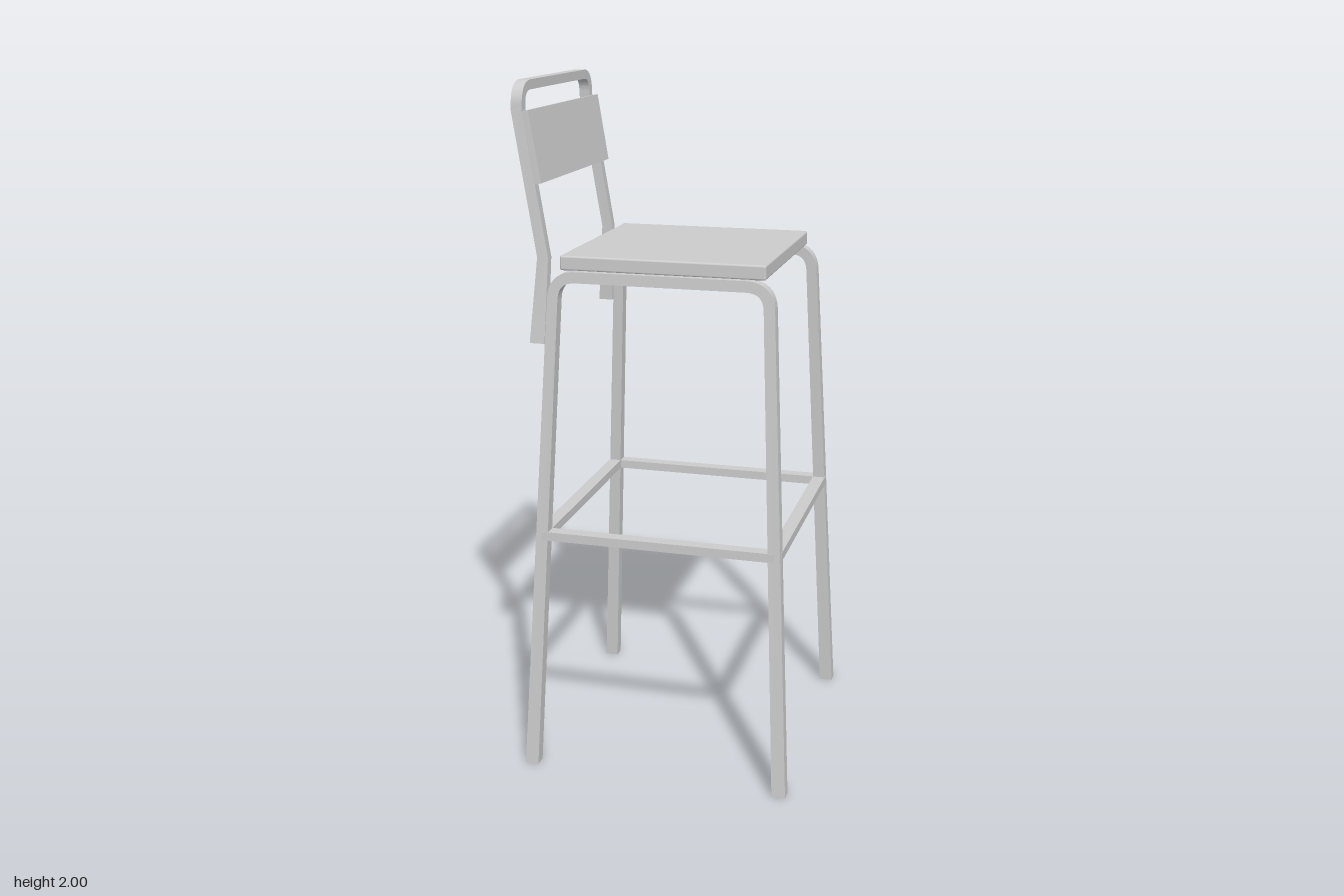
import * as THREE from 'three';
import { toCreasedNormals } from 'three/addons/utils/BufferGeometryUtils.js';
import { RoundedBoxGeometry } from 'three/addons/geometries/RoundedBoxGeometry.js';

const LEG_TOP = 1.472;
const legZ = (y) => 0.392 - 0.0605 * y; // legs splay sideways towards the floor

// piecewise-linear lookup in [key, value] stops
function ramp(stops, k) {
  let i = 1;
  while (i < stops.length - 1 && k > stops[i][0]) i++;
  const [a, b] = [stops[i - 1], stops[i]];
  return a[1] + (b[1] - a[1]) * THREE.MathUtils.clamp((k - a[0]) / (b[0] - a[0]), 0, 1);
}

// points of a rounded corner at c, between the directions of a and b
function corner(a, c, b, r, steps = 14) {
  const from = c.clone().add(a.clone().sub(c).setLength(r));
  const to = c.clone().add(b.clone().sub(c).setLength(r));
  return new THREE.QuadraticBezierCurve(from, c, to).getPoints(steps);
}

// rectangular bar along an upside-down U path, ends cut level;
// map(u, v, s) places a corner in space, s = +1 / -1 being its side
function sweepBar(path, halfWidth, map) {
  const pos = [], index = [], last = path.length - 1;
  path.forEach((p, i) => {
    const n = new THREE.Vector2();
    if (i === 0) n.set(-1, 0);
    else if (i === last) n.set(1, 0);
    else {
      const t1 = p.clone().sub(path[i - 1]).normalize();
      const t2 = path[i + 1].clone().sub(p).normalize();
      const t = t1.clone().add(t2).normalize();
      n.set(-t.y, t.x).divideScalar(t.dot(t1)); // mitre
    }
    n.multiplyScalar(halfWidth(p.y));
    for (const [a, s] of [[1, 1], [-1, 1], [-1, -1], [1, -1]])
      pos.push(...map(p.x + a * n.x, p.y + a * n.y, s));
    if (i === last) return;
    for (let k = 0; k < 4; k++) {
      const a = i * 4 + k, b = i * 4 + (k + 1) % 4;
      index.push(a, b, b + 4, a, b + 4, a + 4);
    }
  });
  const e = last * 4;
  index.push(0, 2, 1, 0, 3, 2, e, e + 1, e + 2, e, e + 2, e + 3);
  const geo = new THREE.BufferGeometry();
  geo.setAttribute('position', new THREE.Float32BufferAttribute(pos, 3));
  geo.setIndex(index);
  return toCreasedNormals(geo, 0.2);
}

export function createModel() {
  const group = new THREE.Group();
  const material = new THREE.MeshStandardMaterial({ color: 0xcccccc });
  const v = (x, y) => new THREE.Vector2(x, y);
  const add = (name, geo, x = 0, y = 0, z = 0) => {
    const mesh = new THREE.Mesh(geo, material);
    mesh.name = name;
    mesh.position.set(x, y, z);
    group.add(mesh);
    return mesh;
  };

  // side frames: two legs and the seat rail bent from one bar
  const rearFoot = v(-0.368, 0), rearTop = v(-0.295, LEG_TOP);
  const frontTop = v(0.317, LEG_TOP), frontFoot = v(0.387, 0);
  const legPath = [
    rearFoot, ...corner(rearFoot, rearTop, frontTop, 0.065),
    ...corner(rearTop, frontTop, frontFoot, 0.065), frontFoot,
  ];
  const legHalf = (y) => ramp([[0, 0.02], [LEG_TOP, 0.0155]], y);
  for (const [name, side] of [['leftLegFrame', 1], ['rightLegFrame', -1]])
    add(name, sweepBar(legPath, legHalf, (x, y, s) => [x, y, side * legZ(y) + s * 0.018]));

  // footrest stretchers on all four sides
  const sy = 0.7175, sz = legZ(sy), rearX = -0.332, frontX = 0.353;
  for (const [name, side] of [['leftStretcher', 1], ['rightStretcher', -1]])
    add(name, new THREE.BoxGeometry(frontX - rearX, 0.026, 0.038), (frontX + rearX) / 2, sy, side * sz);
  for (const [name, x] of [['frontStretcher', frontX], ['rearStretcher', rearX]])
    add(name, new THREE.BoxGeometry(0.038, 0.026, sz * 2), x, sy, 0);

  // seat
  add('seat', new RoundedBoxGeometry(0.587, 0.042, 0.598, 2, 0.006), 0.01, 1.507, 0);

  // back frame: splayed lower ends behind the legs, reclined uprights, top rail
  const topA = v(-0.286, 1.987), topB = v(0.286, 1.987);
  const upright = (s) => [v(s * 0.312, 1.28), v(s * 0.29, 1.52), v(s * 0.287, 1.92)];
  const backPath = [
    ...upright(-1), ...corner(v(-0.286, 1.9), topA, topB, 0.058),
    ...corner(topA, topB, v(0.286, 1.9), 0.058), ...upright(1).reverse(),
  ];
  const backX = [[1.28, -0.345], [1.52, -0.331], [1.92, -0.397]];
  const backDepth = [[1.28, 0.022], [1.52, 0.016]];
  const backHalf = (y) => ramp([[1.28, 0.0165], [1.52, 0.0135]], y);
  add('backFrame', sweepBar(backPath, backHalf,
    (u, y, s) => [ramp(backX, y) + s * ramp(backDepth, y), y, -u]));

  // backrest panel on the front of the uprights
  const panel = add('backrestPanel', new THREE.BoxGeometry(0.018, 0.2, 0.6), -0.356, 1.823, 0);
  panel.rotation.z = Math.atan(0.165);

  return group;
}
